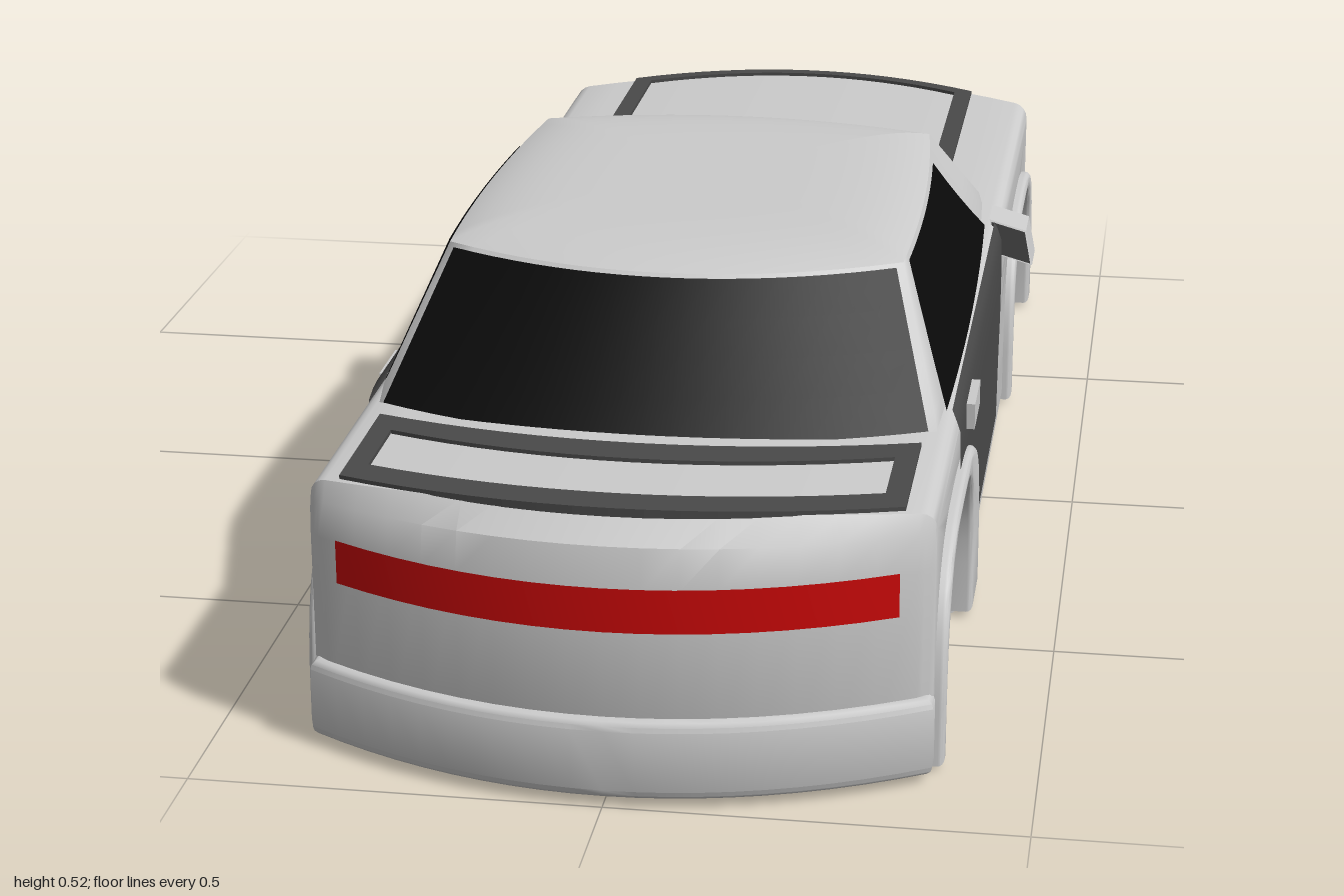
import * as THREE from 'three';
import { toCreasedNormals } from 'three/addons/utils/BufferGeometryUtils.js';

const paint = (color) => new THREE.MeshStandardMaterial({ color, side: THREE.DoubleSide });
const GREY = paint(0xcccccc), DARK = paint(0x4a4a4a), BLACK = paint(0x0a0a0a);
const RED = paint(0xcc0808), YELLOW = paint(0xd6c400);
const lerp = THREE.MathUtils.lerp, clamp = THREE.MathUtils.clamp;
const bow = (x) => 0.8 * x * x;                       // how far the ends sweep back
const crown = (x) => 0.012 * (1 - (x / 0.37) ** 2);   // gentle dome of hood and trunk

// Moves every vertex by a rule
function deform(geo, rule) {
  const p = geo.attributes.position, v = new THREE.Vector3();
  for (let i = 0; i < p.count; i++) {
    rule(v.fromBufferAttribute(p, i));
    p.setXYZ(i, v.x, v.y, v.z);
  }
  return geo;
}

// Grid surface from fn(u, v) -> [x, y, z]
function patch(fn, nu, nv) {
  const pos = [], idx = [];
  for (let j = 0; j <= nv; j++) for (let i = 0; i <= nu; i++) pos.push(...fn(i / nu, j / nv));
  for (let j = 0; j < nv; j++) for (let i = 0; i < nu; i++) {
    const a = j * (nu + 1) + i, b = a + nu + 1;
    idx.push(a, a + 1, b, a + 1, b + 1, b);
  }
  const g = new THREE.BufferGeometry();
  g.setAttribute('position', new THREE.Float32BufferAttribute(pos, 3));
  g.setIndex(idx);
  g.computeVertexNormals();
  return g;
}

const shapeOf = (pts) => new THREE.Shape(pts.map(([a, b]) => new THREE.Vector2(a, b)));

// Solid from a side outline [z, y], between x0 and x1
function sideSolid(pts, x0, x1, bevel, steps = 1) {
  const g = new THREE.ExtrudeGeometry(shapeOf(pts), {
    depth: x1 - x0 - 2 * bevel, steps, bevelThickness: bevel, bevelSize: bevel, bevelOffset: -bevel, bevelSegments: 4,
  });
  return g.translate(0, 0, -x1 + bevel).rotateY(-Math.PI / 2);
}

// Solid from a plan outline [x, z], from y0 upwards
function planSolid(pts, hole, y0, h, bevel = 0) {
  const flip = (list) => list.map(([x, z]) => [x, -z]);
  const shape = shapeOf(flip(pts));
  if (hole) shape.holes.push(shapeOf(flip(hole)));
  const g = new THREE.ExtrudeGeometry(shape, {
    depth: h - 2 * bevel, bevelEnabled: bevel > 0, bevelThickness: bevel, bevelSize: bevel, bevelOffset: -bevel, bevelSegments: 3,
  });
  return g.rotateX(-Math.PI / 2).translate(0, y0 + bevel, 0);
}

// Squarish wheel arch, from its +z foot to its -z foot
function arch(c, back, fwd, top, y0) {
  return Array.from({ length: 25 }, (_, i) => {
    const a = (i / 24) * Math.PI, co = Math.cos(a);
    const r = Math.abs(co) < 1e-6 ? 0 : Math.abs(co) ** 0.6;
    return [c + (co > 0 ? back : -fwd) * r, y0 + (top - y0) * Math.max(0, Math.sin(a)) ** 0.6];
  });
}

// Plan outline with two curved edges: [z at centre, z at corner] for each
function curvedPanel(w, a, b) {
  const edge = ([zc, zk]) => Array.from({ length: 17 }, (_, i) => {
    const t = i / 8 - 1;
    return [t * w, zc + (zk - zc) * t * t];
  });
  return [...edge(a), ...edge(b).reverse()];
}

// Cabin outline: k is 0 at the waist and 1 at the roof; p runs 0..4 round the four sides
function cabin(k, p, grow = 1) {
  const c = clamp(k, 0, 1), y = 0.34 + 0.165 * k;
  const wf = lerp(0.345, 0.275, c), wr = lerp(0.356, 0.292, c);
  const zf = lerp(-0.34, -0.125, c), zr = lerp(0.62, 0.445, c);
  const side = Math.min(3, Math.floor(p)), s = p - side;
  const end = (w, zk, zc, t) => [w * t, zc + (zk - zc) * t * t];
  const flank = (t) => [lerp(wf, wr, t) + 0.044 * t * (1 - t), lerp(zf, zr, t)];
  let x, z;
  if (side === 0) [x, z] = flank(s);
  else if (side === 1) [x, z] = end(wr, zr, lerp(0.705, 0.53, c), 1 - 2 * s);
  else if (side === 2) { [x, z] = flank(1 - s); x = -x; }
  else [x, z] = end(wf, zf, lerp(-0.42, -0.175, c), 2 * s - 1);
  return [x * grow, y, 0.15 + (z - 0.15) * grow];
}

export function createModel() {
  const car = new THREE.Group();
  const add = (name, geo, mat = GREY) => {
    const m = new THREE.Mesh(geo, mat);
    m.name = name;
    car.add(m);
    return m;
  };

  // Lower body with wheel arches cut through, bowed at both ends
  const profile = [
    [-0.965, 0.02], [-0.982, 0.06], [-0.985, 0.27], [-0.978, 0.325], [-0.95, 0.341], [-0.4, 0.34],
    [0.65, 0.341], [0.93, 0.341], [0.97, 0.318], [0.985, 0.275], [0.985, 0.06], [0.965, 0.02],
    ...arch(0.62, 0.215, 0.215, 0.255, 0.005), ...arch(-0.615, 0.215, 0.215, 0.255, 0.005),
  ];
  const body = deform(sideSolid(profile, -0.374, 0.374, 0.02, 16), (v) => {
    v.z -= Math.sign(v.z) * bow(v.x) * clamp((Math.abs(v.z) - 0.84) / 0.14, 0, 1);
    if (v.y > 0.3) v.y += crown(v.x) * clamp((v.y - 0.3) / 0.04, 0, 1);
  });
  add('body', toCreasedNormals(body, 0.6));
  add('innerChassis', new THREE.BoxGeometry(0.62, 0.25, 1.72).translate(0, 0.145, 0), DARK);

  // Bumpers
  for (const [name, s, h] of [['rearBumper', 1, 0.1], ['frontBumper', -1, 0.125]]) {
    const pts = [[-0.376, s * 0.862]];
    for (let i = 0; i <= 20; i++) {
      const x = lerp(-0.376, 0.376, i / 20);
      pts.push([x, s * (1 - bow(x))]);
    }
    pts.push([0.376, s * 0.862]);
    add(name, toCreasedNormals(planSolid(pts, null, 0.015, h, 0.012), 0.6));
  }

  // Cabin shell, roof and glass
  add('cabinShell', patch((u, v) => cabin(lerp(-0.15, 1, v), u * 4), 64, 4));
  add('roof', patch((u, v) => {
    const [x, y, z] = cabin(1, u * 4), r = 1 - v * v;
    return [x * r, y + 0.019 * (1 - r ** 6), 0.15 + (z - 0.15) * r];
  }, 64, 12));
  const glass = (name, base, lo, hi) => add(name, patch((u, v) => {
    const k = lerp(0.05, 0.98, v);
    return cabin(k, base + lerp(lerp(lo[0], lo[1], u), lerp(hi[0], hi[1], u), v), 1.01);
  }, 20, 4), BLACK);
  glass('rearWindow', 1, [0.02, 0.98], [0.02, 0.98]);
  glass('windshield', 3, [0.03, 0.97], [0.03, 0.97]);
  glass('rightWindow', 0, [0.14, 0.93], [0.23, 0.955]);
  glass('leftWindow', 2, [0.07, 0.86], [0.045, 0.77]);

  // Hood and trunk trim frames
  const frame = (name, outer, inner) => add(name, deform(planSolid(outer, inner, 0.325, 0.021), (v) => {
    v.y += crown(v.x);
  }), DARK);
  frame('hoodFrame', curvedPanel(0.28, [-0.965, -0.9], [-0.5, -0.44]), curvedPanel(0.253, [-0.945, -0.885], [-0.527, -0.475]));
  frame('trunkFrame', curvedPanel(0.337, [0.735, 0.66], [0.938, 0.862]), curvedPanel(0.31, [0.785, 0.715], [0.893, 0.828]));

  // Tail light band, headlights and stepped grille, all following the bow
  const band = (name, x0, x1, y0, y1, s, out, mat) => add(name, patch((u, v) => {
    const x = lerp(x0, x1, u);
    return [x, lerp(y0, y1, v), s * (0.985 + out - bow(x))];
  }, 16, 1), mat);
  band('tailLight', -0.335, 0.335, 0.225, 0.28, 1, 0.005, RED);
  [[0.19, 0.235, 0.272], [0.155, 0.205, 0.235], [0.1, 0.175, 0.205]].forEach(([w, y0, y1]) =>
    band('grille', -w, w, y0, y1, -1, 0.005, DARK));

  // Paired side parts
  for (const s of [1, -1]) {
    const side = s > 0 ? 'right' : 'left';
    const addSide = (name, geo, mat) => add(side + name, geo, mat);
    const span = (a, b) => [Math.min(s * a, s * b), Math.max(s * a, s * b)];

    // Headlight in its housing
    const [h0, h1] = span(0.2, 0.345), [l0, l1] = span(0.225, 0.325);
    const lampPts = [[h0, -0.88], [h1, -0.88]];
    for (let i = 0; i <= 6; i++) {
      const x = lerp(h1, h0, i / 6);
      lampPts.push([x, -0.993 + bow(x)]);
    }
    addSide('HeadlightHousing', planSolid(lampPts, null, 0.22, 0.067));
    band(side + 'Headlight', l0, l1, 0.23, 0.278, -1, 0.012, YELLOW);

    // Wheel arch flares; the rear one sweeps forward into the door
    const flare = (name, outer, inner) => addSide(name,
      toCreasedNormals(sideSolid([...outer, ...inner.reverse()], ...span(0.315, 0.388), 0.008), 0.6));
    flare('RearFlare', arch(0.62, 0.235, 0.31, 0.272, 0.012), arch(0.62, 0.21, 0.21, 0.25, 0.012));
    flare('FrontFlare', arch(-0.615, 0.24, 0.255, 0.272, 0.012), arch(-0.615, 0.21, 0.21, 0.25, 0.012));

    // Door skin, its rear edge cut round the flare
    const rows = [[0.376, 0.05, 0.34], [0.377, 0.15, 0.36], [0.378, 0.21, 0.41], [0.378, 0.255, 0.5],
      [0.378, 0.275, 0.56], [0.377, 0.325, 0.56], [0.371, 0.342, 0.56], [0.366, 0.352, 0.555]];
    addSide('Door', patch((u, v) => {
      const [x, y, z] = rows[Math.round(v * 7)];
      return [s * x, y, lerp(-0.205, z, u)];
    }, 6, 7), DARK);
    addSide('DoorHandle', new THREE.BoxGeometry(0.014, 0.034, 0.09).translate(s * 0.381, 0.307, 0.415));

    // Mirror: swept, tilted shell with a dark glass facing the rear
    const sweep = (g) => deform(g, (v) => {
      v.z += (v.y - 0.315) * -0.5;
      v.y -= (v.x - 0.39) * 0.3;
      v.x = s * (v.x - (v.y - 0.315) * 0.25);
    });
    const shell = sweep(new THREE.BoxGeometry(0.05, 0.045, 0.07).translate(0.39, 0.317, -0.255));
    shell.computeVertexNormals();
    if (s < 0) shell.setIndex([...shell.index.array].reverse()).computeVertexNormals();
    addSide('Mirror', shell);
    addSide('MirrorGlass', sweep(new THREE.PlaneGeometry(0.046, 0.041).translate(0.39, 0.317, -0.218)), DARK);
  }
  return car;
}
